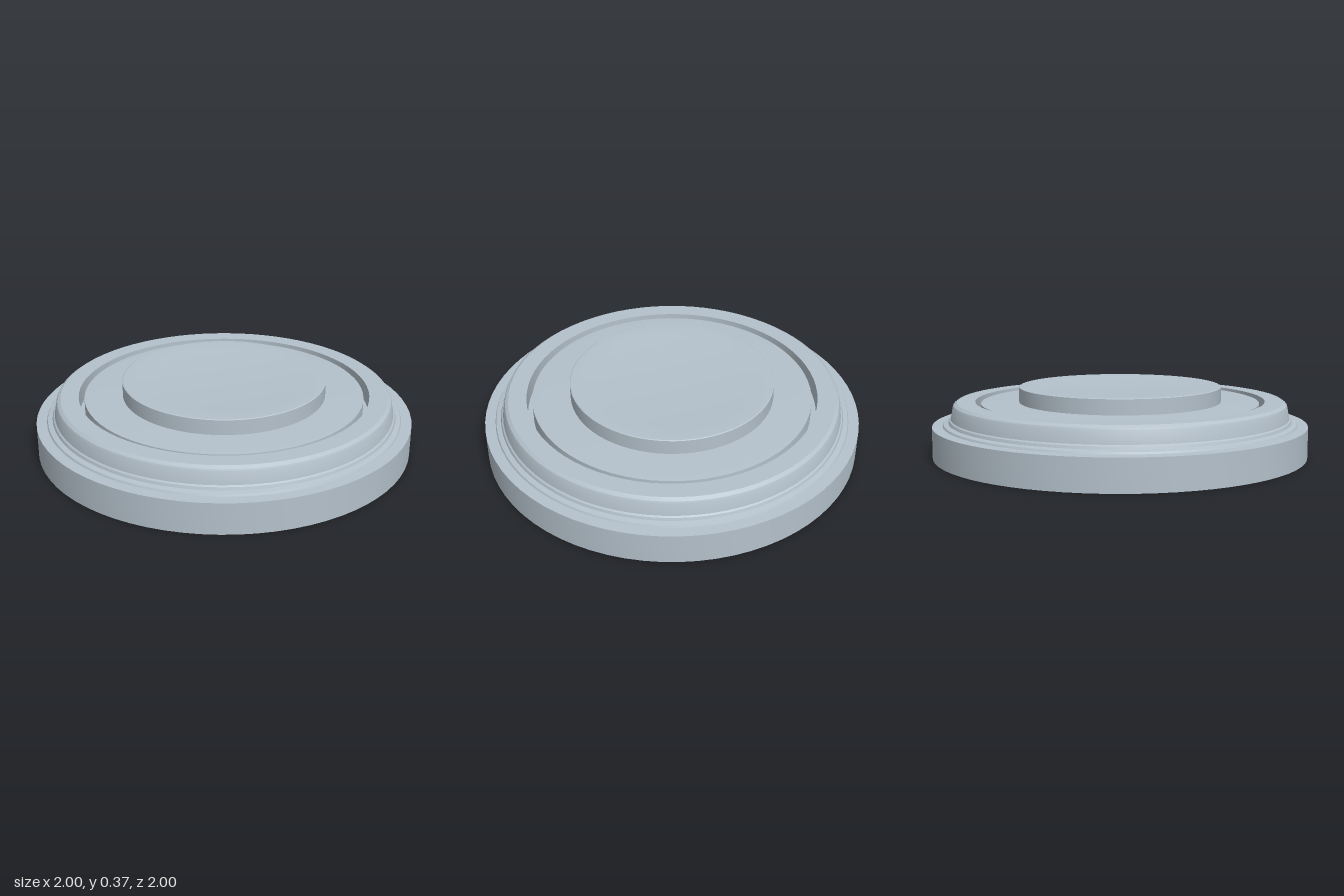
import * as THREE from 'three';
import { toCreasedNormals } from 'three/addons/utils/BufferGeometryUtils.js';

const steel = new THREE.MeshStandardMaterial({ color: 0xb4c1cb });
steel.name = 'paleSteel';

// Turns a closed [radius, height] profile into a round part with crisp edges
function turned(name, profile) {
  const points = profile.map(([r, y]) => new THREE.Vector2(r, y));
  const geometry = toCreasedNormals(new THREE.LatheGeometry(points, 72), Math.PI / 9);
  const mesh = new THREE.Mesh(geometry, steel);
  mesh.name = name;
  return mesh;
}

export function createModel() {
  const group = new THREE.Group();
  group.name = 'roundPlinth';

  // Wide foot, stepped moulding and bevelled rim, down into the narrow groove
  group.add(turned('baseAndRim', [
    [0, 0], [1, 0], [1, 0.165],
    [0.945, 0.168], [0.94, 0.178], [0.915, 0.184], [0.91, 0.198], [0.902, 0.204],
    [0.89, 0.268], [0.885, 0.278], [0.868, 0.29],
    [0.772, 0.29], [0.772, 0.19], [0, 0.19],
  ]));

  // Inner plate, standing inside the groove
  group.add(turned('innerPlate', [
    [0.742, 0.19], [0.742, 0.28], [0.68, 0.283], [0, 0.283],
  ]));

  // Raised centre disc with a very shallow dished top
  group.add(turned('centreDisc', [
    [0.54, 0.28], [0.54, 0.362], [0.535, 0.365],
    [0.46, 0.365], [0.41, 0.361], [0, 0.361],
  ]));

  return group;
}
